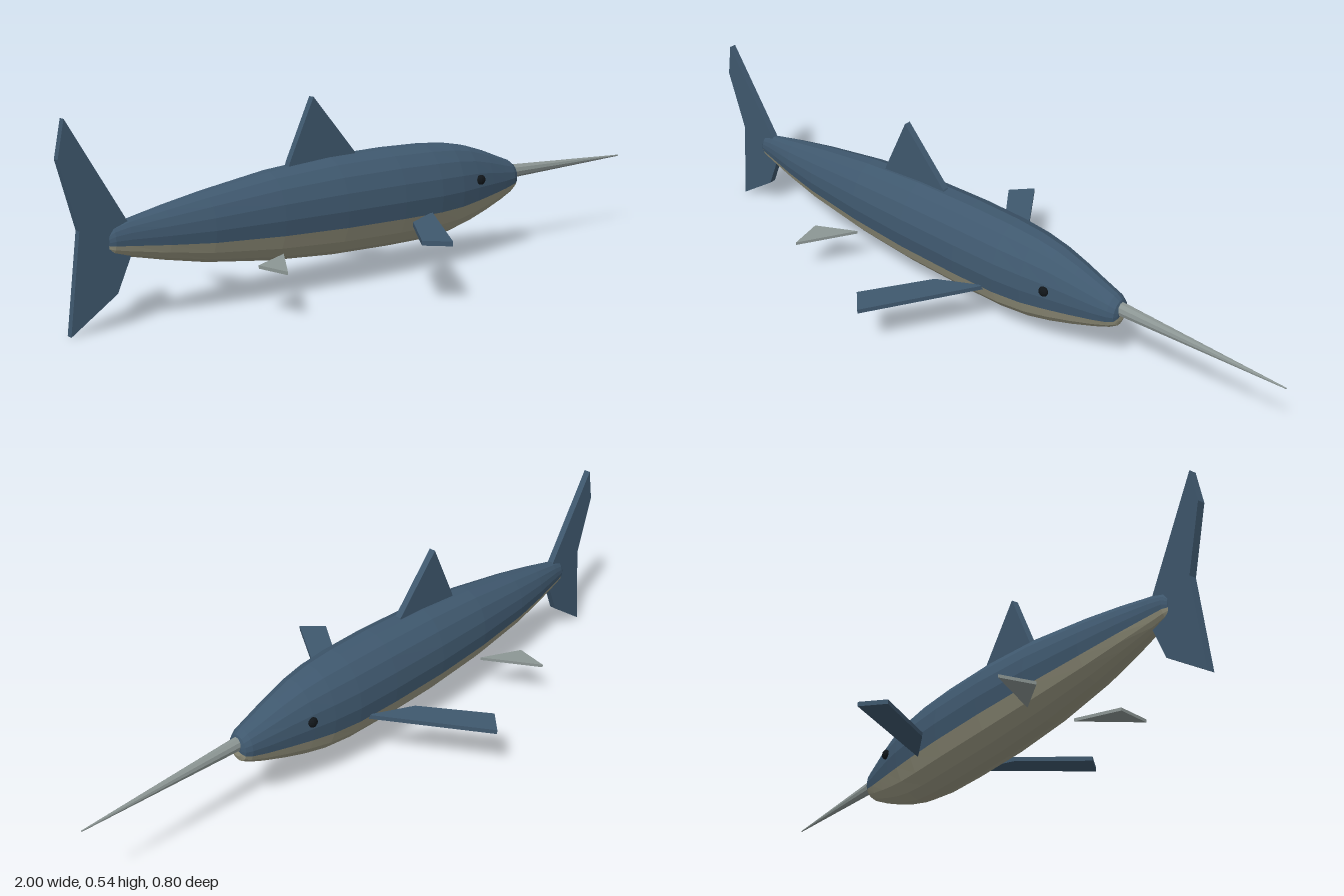
import * as THREE from 'three';

const paint = (color) => new THREE.MeshStandardMaterial({ color, flatShading: true, side: THREE.DoubleSide });
const SIDES = 18;

// Body stations: x, top y, bottom y, half width
const STATIONS = [
  [-0.875, 0.225, 0.223, 0.001], [-0.873, 0.245, 0.195, 0.013], [-0.86, 0.258, 0.188, 0.021],
  [-0.82, 0.272, 0.176, 0.029], [-0.72, 0.293, 0.152, 0.049], [-0.6, 0.315, 0.127, 0.068],
  [-0.4, 0.345, 0.1, 0.09], [-0.2, 0.361, 0.085, 0.102], [0, 0.365, 0.08, 0.105],
  [0.14, 0.362, 0.08, 0.102], [0.23, 0.355, 0.088, 0.093], [0.3, 0.342, 0.104, 0.081],
  [0.37, 0.32, 0.126, 0.067], [0.44, 0.293, 0.152, 0.052], [0.485, 0.276, 0.172, 0.042],
  [0.502, 0.264, 0.183, 0.033], [0.508, 0.248, 0.2, 0.02], [0.509, 0.225, 0.223, 0.001],
];

// Skin between two steps around the oval cross-section
function skin(name, from, to, material) {
  const points = [], index = [], n = to - from + 1;
  STATIONS.forEach(([x, top, bottom, w], i) => {
    for (let j = 0; j < n; j++) {
      const a = ((from + j) / SIDES) * Math.PI * 2;
      points.push(x, (top + bottom) / 2 + Math.sin(a) * (top - bottom) / 2, Math.cos(a) * w);
      if (i && j) {
        const d = i * n + j, c = d - 1, b = d - n, e = b - 1;
        index.push(e, c, b, b, c, d);
      }
    }
  });
  const geometry = new THREE.BufferGeometry();
  geometry.setAttribute('position', new THREE.Float32BufferAttribute(points, 3));
  geometry.setIndex(index);
  geometry.computeVertexNormals();
  const mesh = new THREE.Mesh(geometry, material);
  mesh.name = name;
  return mesh;
}

// Flat plate of even thickness, centred on its own plane
function fin(name, outline, thickness, material) {
  const shape = new THREE.Shape(outline.map(([x, y]) => new THREE.Vector2(x, y)));
  const geometry = new THREE.ExtrudeGeometry(shape, { depth: thickness, bevelEnabled: false });
  geometry.translate(0, 0, -thickness / 2);
  const mesh = new THREE.Mesh(geometry, material);
  mesh.name = name;
  return mesh;
}

export function createModel() {
  const fish = new THREE.Group();
  fish.name = 'fish';
  const blue = paint(0x3f586e), cream = paint(0x9a9882);
  const grey = paint(0x8c9694), black = paint(0x11161a);

  // Dark back and pale belly
  fish.add(skin('back', -1, 10, blue), skin('belly', 10, 17, cream));

  // Long pointed bill
  const bill = new THREE.Mesh(new THREE.CylinderGeometry(0.002, 0.022, 0.52, 10), grey);
  bill.name = 'bill';
  bill.rotation.z = -Math.PI / 2 - 0.008;
  bill.scale.z = 0.85;
  bill.position.set(0.74, 0.235, 0);
  fish.add(bill);

  // Upright fins
  fish.add(fin('dorsalFin', [[-0.34, 0.33], [-0.1, 0.34], [-0.11, 0.365], [-0.25, 0.53], [-0.33, 0.36]], 0.02, blue));
  fish.add(fin('tailFin', [[-0.98, 0.537], [-1, 0.44], [-0.952, 0.26], [-0.985, 0],
    [-0.855, 0.088], [-0.81, 0.19], [-0.82, 0.265]], 0.02, blue));

  // Paired fins and eyes, mirrored about the middle
  for (const s of [1, -1]) {
    const side = s > 0 ? 'right' : 'left';
    const pectoral = fin(side + 'PectoralFin',
      [[0.107, 0.09], [-0.02, 0.155], [-0.147, 0.34], [-0.09, 0.398]], 0.013, blue);
    pectoral.position.y = 0.171;
    const pelvic = fin(side + 'PelvicFin', [[-0.4, 0.075], [-0.52, 0.135], [-0.5, 0.236]], 0.009, grey);
    pelvic.position.y = 0.127;
    for (const f of [pectoral, pelvic]) f.rotation.x = s * Math.PI / 2;

    const eye = new THREE.Mesh(new THREE.SphereGeometry(0.015, 10, 8), black);
    eye.name = side + 'Eye';
    eye.scale.z = 0.7;
    eye.position.set(0.305, 0.246, s * 0.081);
    fish.add(pectoral, pelvic, eye);
  }
  return fish;
}
